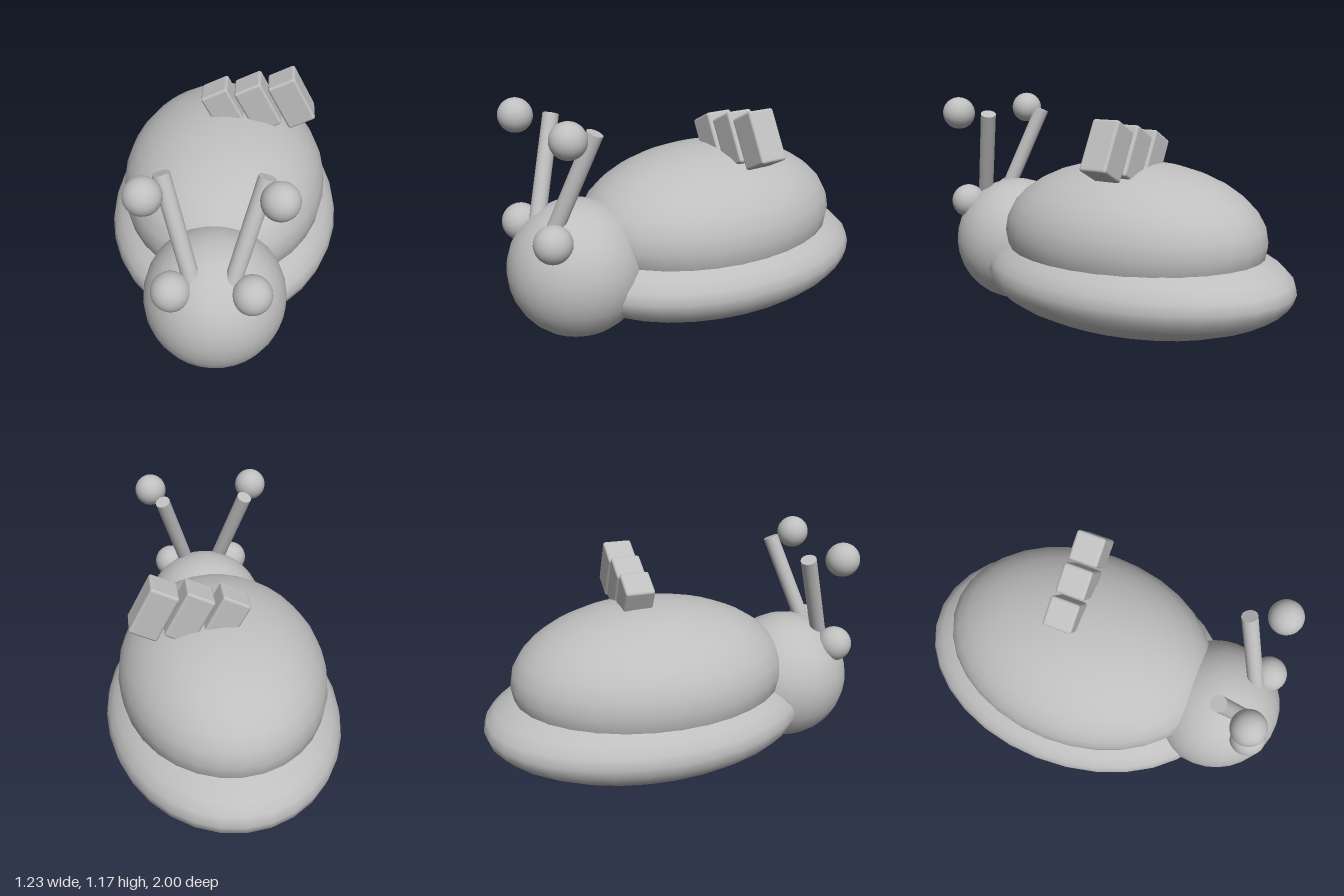
import * as THREE from 'three';
import { RoundedBoxGeometry } from 'three/addons/geometries/RoundedBoxGeometry.js';

export function createModel() {
  const model = new THREE.Group();
  model.name = 'snail';
  const grey = new THREE.MeshStandardMaterial({ color: 0xbfbfbf });
  grey.name = 'clay grey';

  const add = (name, geometry, x, y, z) => {
    const mesh = new THREE.Mesh(geometry, grey);
    mesh.name = name;
    mesh.position.set(x, y, z);
    model.add(mesh);
    return mesh;
  };
  const ellipsoid = (name, [x, y, z], [rx, ry, rz]) =>
    add(name, new THREE.SphereGeometry(1, 32, 16).scale(rx, ry, rz), x, y, z);
  const ball = (name, centre, r) => ellipsoid(name, centre, [r, r, r]);

  // Flattened body, domed shell and round head
  ellipsoid('body', [0, 0.263, -0.142], [0.615, 0.263, 0.858]);
  ellipsoid('shell', [0, 0.485, -0.12], [0.538, 0.382, 0.727]);
  ball('head', [0, 0.358, 0.656], 0.344);

  // Mirrored eyes, leaning stalks and the balls in front of their tips
  for (const [side, s] of [['left', 1], ['right', -1]]) {
    ball(side + 'Eye', [0.182 * s, 0.583, 0.86], 0.092);
    ball(side + 'FeelerBall', [0.285 * s, 1.085, 0.81], 0.085);

    const base = new THREE.Vector3(0.06 * s, 0.5, 0.85);
    const tip = new THREE.Vector3(0.228 * s, 1.083, 0.65);
    const dir = tip.clone().sub(base);
    const mid = base.clone().add(tip).multiplyScalar(0.5);
    const stalk = add(side + 'Stalk',
      new THREE.CylinderGeometry(0.04, 0.04, dir.length(), 32), mid.x, mid.y, mid.z);
    stalk.quaternion.setFromUnitVectors(new THREE.Vector3(0, 1, 0), dir.normalize());
  }

  // Row of three tilted blocks on the shell
  for (let i = 0; i < 3; i++) {
    const block = add('shellBlock' + (i + 1),
      new RoundedBoxGeometry(0.15, 0.265, 0.15, 3, 0.014), 0.002 + 0.17 * i, 0.88 + 0.036 * i, -0.193);
    block.rotation.z = THREE.MathUtils.degToRad(27.5);
  }
  return model;
}
